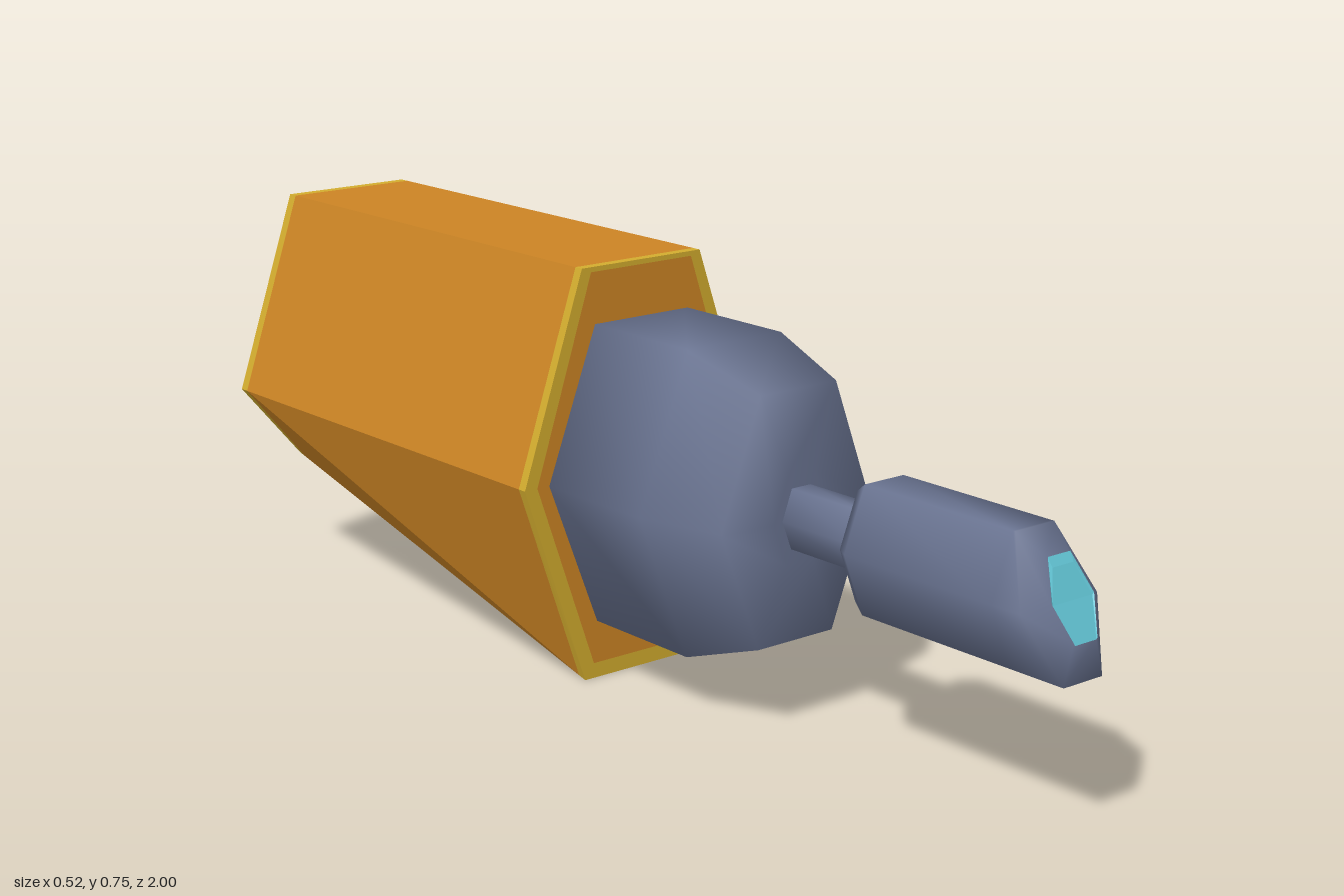
import * as THREE from 'three';

// Six-sided cross-section: half-width at the middle, half-width of the flat ends, bottom, middle and top heights
function hex(w, e, bottom, mid, top, z) {
  return [[w, mid, z], [e, top, z], [-e, top, z], [-w, mid, z], [-e, bottom, z], [e, bottom, z]];
}

// Skins a list of rings from back to front and closes both ends.
// bands: material index for back cap, each band, front cap
function loft(name, rings, materials, bands, smooth) {
  const pos = [], idx = [], groups = [];
  rings.forEach(r => r.forEach(p => pos.push(...p)));
  const n = 6;
  const close = (start, part) => {
    groups.push([start, idx.length - start, bands ? bands[part] : 0]);
  };
  const cap = (base, flip) => {
    for (let i = 1; i < n - 1; i++) {
      if (flip) idx.push(base, base + i + 1, base + i);
      else idx.push(base, base + i, base + i + 1);
    }
  };
  cap(0, true);
  close(0, 0);
  for (let k = 0; k < rings.length - 1; k++) {
    const start = idx.length;
    for (let i = 0; i < n; i++) {
      const a = k * n + i, b = k * n + (i + 1) % n;
      idx.push(a, b, b + n, a, b + n, a + n);
    }
    close(start, k + 1);
  }
  const start = idx.length;
  cap((rings.length - 1) * n, false);
  close(start, rings.length);

  let geo = new THREE.BufferGeometry();
  geo.setAttribute('position', new THREE.Float32BufferAttribute(pos, 3));
  geo.setIndex(idx);
  if (!smooth) geo = geo.toNonIndexed();
  geo.computeVertexNormals();
  if (bands) groups.forEach(g => geo.addGroup(...g));
  const mesh = new THREE.Mesh(geo, bands ? materials : materials[0]);
  mesh.name = name;
  return mesh;
}

export function createModel() {
  const orange = new THREE.MeshStandardMaterial({ color: 0xcc8424 });
  orange.name = 'orange paint';
  const yellow = new THREE.MeshStandardMaterial({ color: 0xd2ac2e });
  yellow.name = 'worn yellow edge';
  const steel = new THREE.MeshStandardMaterial({ color: 0x68728f });
  steel.name = 'blue grey metal';
  const cyan = new THREE.MeshStandardMaterial({ color: 0x62c4d4 });
  cyan.name = 'cyan lens';

  const group = new THREE.Group();
  group.name = 'hexagonalDevice';

  // Tapered case: its underside rises towards the back
  const caseRing = z => hex(0.262, 0.133, 0.225 * (-0.06 - z) / 0.94, 0.378, 0.755, z);
  group.add(loft('case', [
    hex(0.185, 0.088, 0.295, 0.378, 0.685, -0.92),
    hex(0.185, 0.088, 0.295, 0.378, 0.685, -1),
    hex(0.199, 0.097, 0.282, 0.378, 0.698, -1),
    hex(0.235, 0.118, 0.25, 0.378, 0.73, -1),
    caseRing(-1),
    caseRing(-0.98),
    caseRing(-0.078),
    caseRing(-0.06),
    hex(0.235, 0.113, 0.028, 0.378, 0.746, -0.06),
  ], [orange, yellow], [0, 0, 1, 0, 1, 1, 0, 1, 1, 0], false));

  // Rounded housing in front of the case
  group.add(loft('housing', [
    hex(0.209, 0.105, 0.107, 0.378, 0.653, -0.07),
    hex(0.209, 0.105, 0.107, 0.378, 0.653, 0.19),
    hex(0.168, 0.084, 0.16, 0.378, 0.602, 0.353),
    hex(0.06, 0.03, 0.30, 0.378, 0.458, 0.362),
  ], [steel], null, true));

  // Thin neck
  group.add(loft('neck', [
    hex(0.041, 0.021, 0.328, 0.38, 0.434, 0.35),
    hex(0.041, 0.021, 0.328, 0.38, 0.434, 0.55),
  ], [steel], null, true));

  // Head with a sloping nose
  const nose = [
    [0.086, 0.38, 0.945], [0.043, 0.49, 0.89], [-0.043, 0.49, 0.89],
    [-0.086, 0.38, 0.945], [-0.043, 0.268, 1], [0.043, 0.268, 1],
  ];
  const opening = [
    [0.047, 0.395, 0.97], [0.025, 0.458, 0.938], [-0.025, 0.458, 0.938],
    [-0.047, 0.395, 0.97], [-0.025, 0.335, 1], [0.025, 0.335, 1],
  ];
  group.add(loft('head', [
    hex(0.072, 0.036, 0.285, 0.38, 0.472, 0.535),
    hex(0.086, 0.043, 0.268, 0.38, 0.49, 0.56),
    hex(0.086, 0.043, 0.268, 0.38, 0.49, 0.885),
    nose,
    opening,
  ], [steel], null, true));

  // Slightly sunken lens set into the nose
  const lift = opening.map(([x, y, z]) => [x, y, z + 0.003]);
  const floor = opening.map(([x, y, z]) => [x * 0.94, y - 0.003 - (y > 0.4 ? 0.012 : 0), z + (y > 0.4 ? 0.012 : 0.002)]);
  group.add(loft('lens', [lift, floor], [cyan], null, false));

  return group;
}
